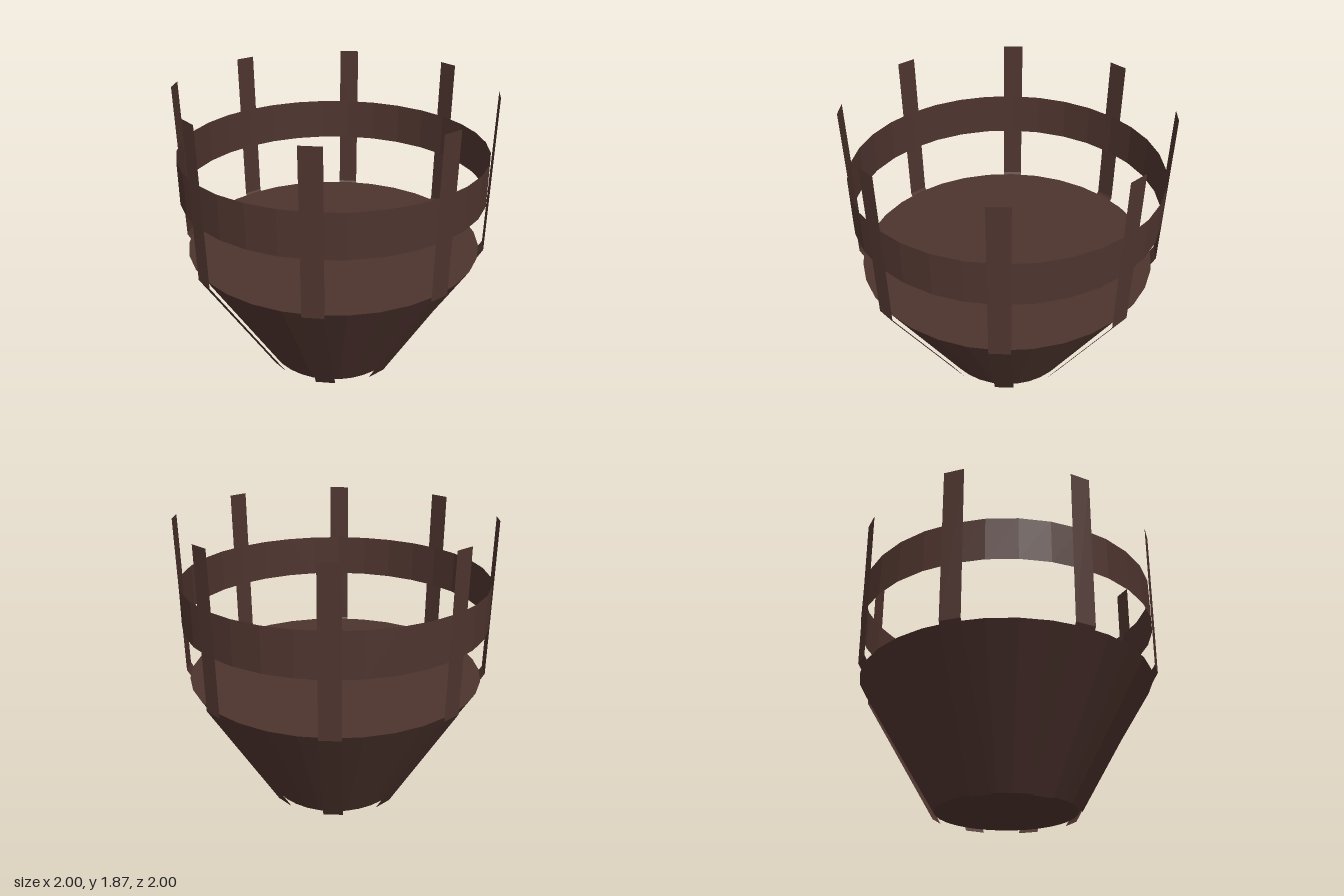
import * as THREE from 'three';

export function createModel() {
  const model = new THREE.Group();
  model.name = 'slattedBasket';

  const wood = new THREE.MeshStandardMaterial({ color: 0x4e342e, flatShading: true, side: THREE.DoubleSide });
  wood.name = 'dark brown wood';

  const add = (name, geometry, y = 0) => {
    const mesh = new THREE.Mesh(geometry, wood);
    mesh.name = name;
    mesh.position.y = y;
    model.add(mesh);
    return mesh;
  };

  // Solid tapered bowl, closed at top and bottom
  const bowlBottom = 0.015, bowlTop = 0.85;
  add('bowl', new THREE.CylinderGeometry(0.955, 0.445, bowlTop - bowlBottom, 32), (bowlTop + bowlBottom) / 2);

  // Thin open hoop that ties the slats together
  add('hoop', new THREE.CylinderGeometry(0.98, 0.98, 0.28, 32, 1, true), 1.355);

  // Eight thin slats, each bent at the bowl rim: [radius, height] from top to bottom
  const profile = [[1.0, 1.865], [0.985, 0.85], [0.462, 0]];
  const slat = new THREE.PlaneGeometry(0.13, 1, 1, profile.length - 1);
  const pos = slat.attributes.position;
  for (let i = 0; i < pos.count; i++) {
    const [radius, height] = profile[Math.floor(i / 2)];
    pos.setXYZ(i, pos.getX(i), height, radius);
  }
  slat.computeVertexNormals();
  for (let i = 0; i < 8; i++) {
    add('slat' + (i + 1), slat).rotation.y = (i * Math.PI) / 4;
  }

  return model;
}
